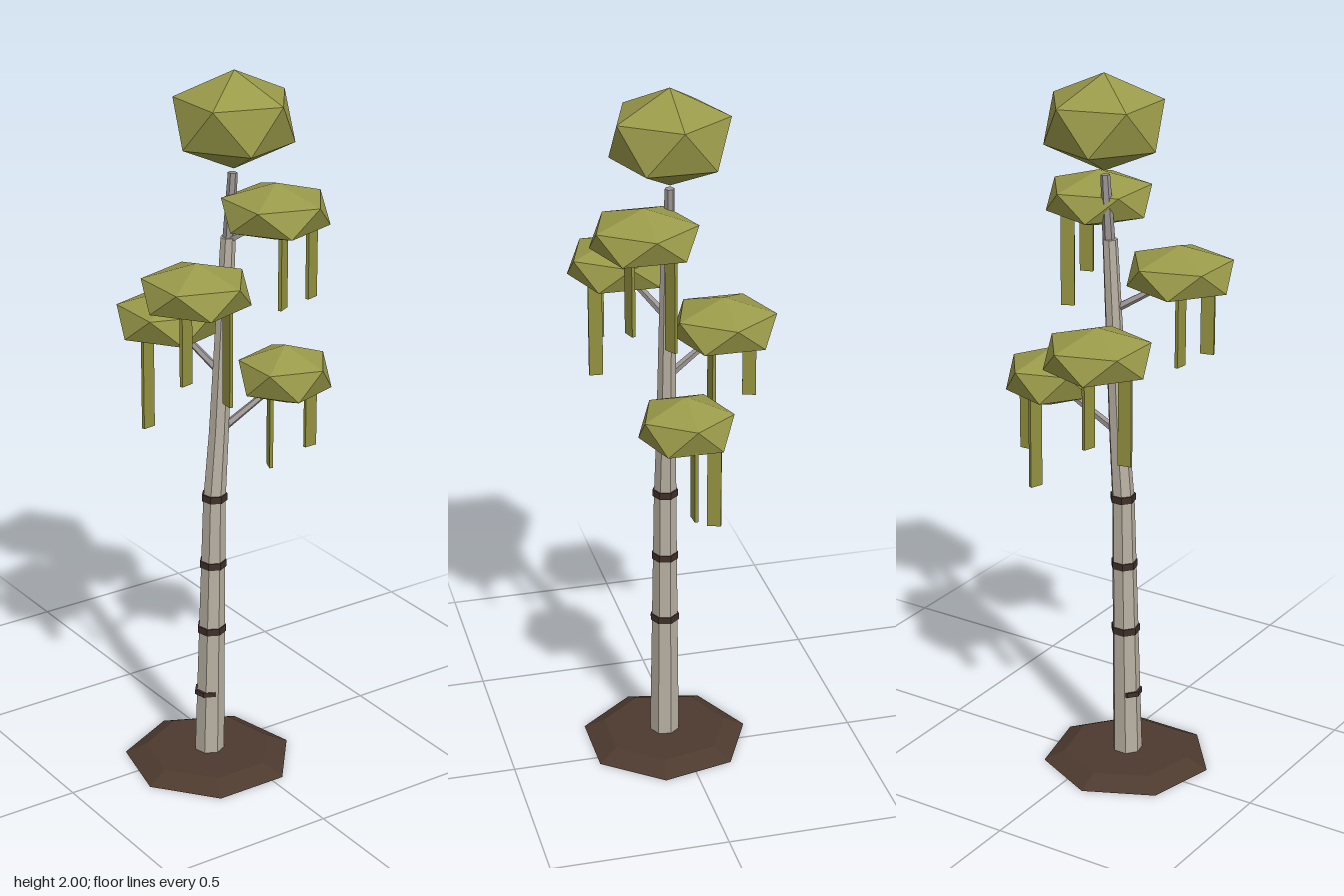
import * as THREE from 'three';

const mat = (name, color) => {
  const m = new THREE.MeshStandardMaterial({ color, flatShading: true });
  m.name = name;
  return m;
};

export function createModel() {
  const tree = new THREE.Group();
  tree.name = 'mossTree';
  const bark = mat('paleBark', 0xb8b0a2);
  const branchBark = mat('greyBranch', 0x9a9592);
  const band = mat('darkBand', 0x40302a);
  const soil = mat('soil', 0x4d3a2f);
  const leaf = mat('oliveLeaf', 0x9a9a4a);
  const moss = mat('hangingMoss', 0x93923f);

  const add = (name, geometry, material, x = 0, y = 0, z = 0) => {
    const mesh = new THREE.Mesh(geometry, material);
    mesh.name = name;
    mesh.position.set(x, y, z);
    tree.add(mesh);
    return mesh;
  };

  // Tapered rod between two points
  const rod = (name, material, from, to, r0, r1, sides) => {
    const a = new THREE.Vector3(...from), b = new THREE.Vector3(...to);
    const dir = b.clone().sub(a);
    const mesh = add(name, new THREE.CylinderGeometry(r1, r0, dir.length(), sides), material);
    mesh.position.copy(a).add(b).multiplyScalar(0.5);
    mesh.quaternion.setFromUnitVectors(new THREE.Vector3(0, 1, 0), dir.normalize());
  };

  // Seven-sided soil mound
  const mound = new THREE.CylinderGeometry(0.18, 0.24, 0.03, 7);
  mound.rotateY(Math.PI);
  add('soilMound', mound, soil, -0.07, 0.015, 0.04);

  // Gently leaning trunk: [x, y, radius] rows
  const rows = [[-0.07, 0, 0.043], [-0.052, 0.8, 0.032], [-0.037, 1.0, 0.028], [-0.007, 1.55, 0.021]];
  const trunk = new THREE.CylinderGeometry(1, 1, 1, 7, rows.length - 1);
  const p = trunk.attributes.position;
  for (let i = 0; i < p.count; i++) {
    const [x, y, r] = rows[Math.round((p.getY(i) + 0.5) * (rows.length - 1))];
    p.setXYZ(i, x + p.getX(i) * r, y, 0.04 + p.getZ(i) * r);
  }
  trunk.computeVertexNormals();
  add('trunk', trunk, bark);
  rod('trunkTip', branchBark, [-0.007, 1.5, 0.04], [0.008, 1.725, 0.04], 0.018, 0.013, 6);

  // Bark bands
  for (const [x, y, r] of [[-0.074, 0.215, 0.038], [-0.061, 0.41, 0.041], [-0.056, 0.61, 0.038], [-0.051, 0.81, 0.036]])
    add('barkBand', new THREE.CylinderGeometry(r, r, y < 0.3 ? 0.014 : 0.02, 7), band, x, y, 0.04);

  // Leaf clusters: centre, ring radius, half height, branch start, moss strips [x, z, bottom, yaw]
  const clusters = [
    { c: [0.012, 1.8675, 0.04], r: 0.16, h: 0.1325, strips: [] },
    { c: [0.085, 1.628, 0.128], r: 0.144, h: 0.078, from: [-0.01, 1.54, 0.04],
      strips: [[0.15, 0.072, 1.325, 0.5], [0.162, 0.185, 1.39, 0.3]] },
    { c: [0.183, 1.12, 0.04], r: 0.128, h: 0.085, from: [-0.035, 1.0, 0.04],
      strips: [[0.188, -0.037, 0.815, 1.2], [0.27, 0.04, 0.885, 0.05]] },
    { c: [-0.17, 1.457, 0.135], r: 0.144, h: 0.078, from: [-0.015, 1.35, 0.04],
      strips: [[-0.232, 0.18, 1.225, 0.25], [-0.125, 0.215, 1.155, 1.5]] },
    { c: [-0.08, 1.285, -0.135], r: 0.144, h: 0.08, from: [-0.03, 1.17, 0.04],
      strips: [[-0.16, -0.122, 0.985, 0.15], [-0.105, -0.215, 1.055, 1.3]] },
  ];
  const tilt = Math.atan(2 / (1 + Math.sqrt(5)));
  for (const { c, r, h, from, strips } of clusters) {
    const ico = new THREE.IcosahedronGeometry(1, 0);
    ico.rotateZ(-tilt); // one corner straight up
    ico.scale(r / 0.8944, h, r / 0.8944);
    add('leafCluster', ico, leaf, ...c);
    if (from) rod('branch', branchBark, from, [c[0], c[1] - 0.01, c[2]], 0.012, 0.008, 5);
    for (const [x, z, bottom, yaw] of strips) {
      const len = c[1] - bottom;
      add('mossStrip', new THREE.BoxGeometry(0.038, len, 0.01), moss, x, bottom + len / 2, z).rotation.y = yaw;
    }
  }
  return tree;
}
